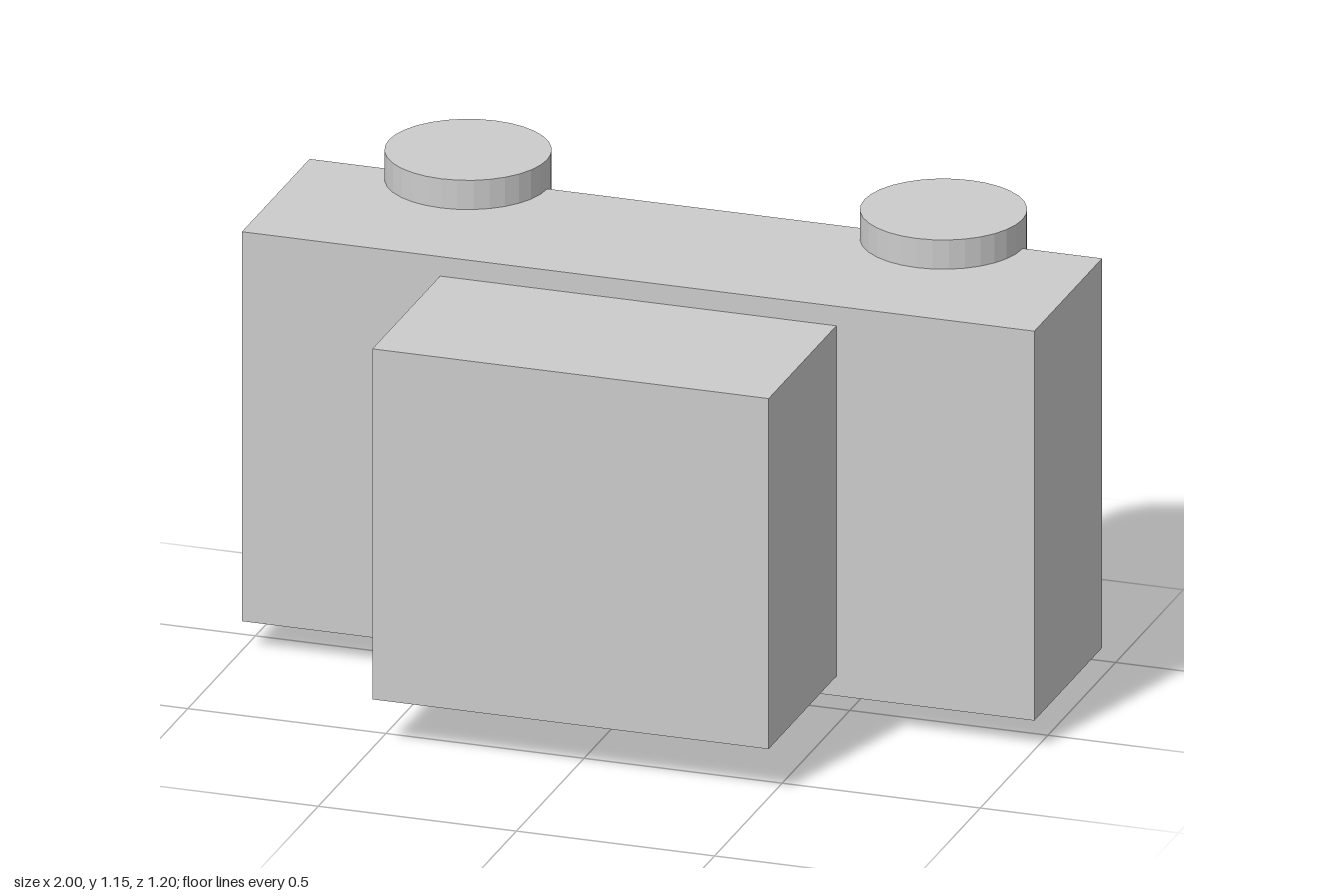
import * as THREE from 'three';

export function createModel() {
  const model = new THREE.Group();
  const material = new THREE.MeshStandardMaterial({ color: 0xcccccc, flatShading: true });

  function add(name, geometry, x, y, z) {
    const mesh = new THREE.Mesh(geometry, material);
    mesh.name = name;
    mesh.position.set(x, y, z);
    model.add(mesh);
  }

  // Main body and the cabin block on its front face
  add('body', new THREE.BoxGeometry(2, 1, 0.5), 0, 0.575, -0.15);
  add('cabin', new THREE.BoxGeometry(1, 0.9, 0.5), 0, 0.575, 0.35);

  // Four wheels on vertical axles, half sunk into the back edges
  const wheel = new THREE.CylinderGeometry(0.2, 0.2, 0.15, 32);
  for (const [side, x] of [['left', 0.6], ['right', -0.6]]) {
    for (const [level, y] of [['Lower', 0.075], ['Upper', 1.075]]) {
      add(`${side}${level}Wheel`, wheel, x, y, -0.4);
    }
  }

  return model;
}
